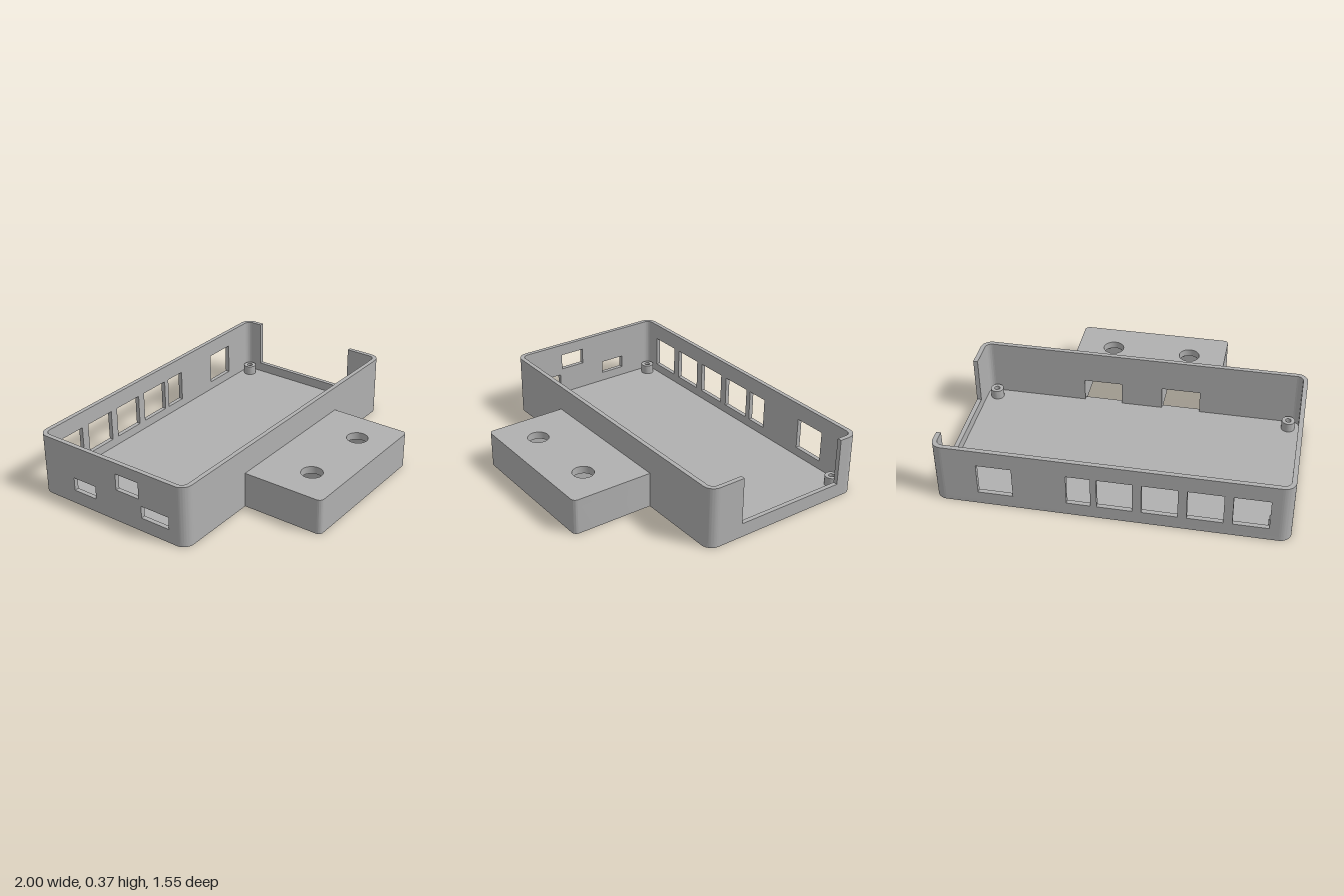
import * as THREE from 'three';
import { toCreasedNormals } from 'three/addons/utils/BufferGeometryUtils.js';

const H = 0.37, T = 0.027, R = 0.065;      // tray height, wall thickness, corner radius
const ZB = -0.775, ZF = 0.275, ZC = -0.25; // tray back, front and middle

const plastic = new THREE.MeshStandardMaterial({ color: 0xb0b0b0 });
plastic.name = 'grey plastic';

function extrude(shape, depth) {
  const g = new THREE.ExtrudeGeometry(shape, { depth, bevelEnabled: false, curveSegments: 16 });
  return toCreasedNormals(g, 0.5);
}

function add(parent, name, geometry) {
  const mesh = new THREE.Mesh(geometry, plastic);
  mesh.name = name;
  parent.add(mesh);
  return mesh;
}

// Horizontal plate: the shape holds (x, -z) and is raised from y0 to y1
function slab(parent, name, shape, y0, y1) {
  return add(parent, name, extrude(shape, y1 - y0).rotateX(-Math.PI / 2).translate(0, y0, 0));
}

function circle(x, z, r) {
  return new THREE.Path().absarc(x, -z, r, 0, Math.PI * 2, true);
}

function poly(points, Type = THREE.Shape) {
  return new Type(points.map(([x, y]) => new THREE.Vector2(x, y)));
}

function rect(x0, x1, y0, y1, Type) {
  return poly([[x0, y0], [x1, y0], [x1, y1], [x0, y1]], Type);
}

function trayOutline() {
  const s = new THREE.Shape(), x = 1 - R, a = -ZF + R, b = -ZB - R, q = Math.PI / 2;
  s.absarc(x, a, R, -q, 0, false);
  s.absarc(x, b, R, 0, q, false);
  s.absarc(-x, b, R, q, 2 * q, false);
  s.absarc(-x, a, R, 2 * q, 3 * q, false);
  return s;
}

// Upright wall with windows, drawn in (x, y) and extruded along z
function wall(shape, windows) {
  for (const w of windows) shape.holes.push(rect(...w, THREE.Path));
  return extrude(shape, T);
}

function buildTray() {
  const tray = new THREE.Group();
  tray.name = 'tray';

  // Floor, with four shallow round recesses underneath
  const under = trayOutline();
  for (const x of [-0.783, 0.783])
    for (const z of [-0.394, 0.394]) under.holes.push(circle(x, ZC + z, 0.063));
  slab(tray, 'floorUnderside', under, 0, 0.01);
  slab(tray, 'floor', trayOutline(), 0.01, T);

  // Rounded corners
  const corner = new THREE.Shape();
  corner.absarc(0, 0, R, 0, Math.PI / 2, false);
  corner.absarc(0, 0, R - T, Math.PI / 2, 0, true);
  [[1, -1], [-1, -1], [-1, 1], [1, 1]].forEach(([sx, sz], i) => {
    const m = slab(tray, 'corner', corner, T, H);
    m.rotation.y = i * Math.PI / 2;
    m.position.set(sx * (1 - R), 0, ZC + sz * (0.525 - R));
  });

  // Back wall with its row of ports
  const ports = [[0.545, 0.745], [0.105, 0.24], [-0.13, 0.07], [-0.38, -0.18], [-0.63, -0.43], [-0.88, -0.68]];
  const X = 1 - R;
  add(tray, 'backWall', wall(rect(-X, X, T, H), ports.map(([a, b]) => [a, b, 0.08, 0.27])))
    .position.z = ZB;

  // Front wall with two passages that start at the floor
  const front = [[-X, T]];
  for (const [a, b] of [[-0.36, -0.125], [0.125, 0.36]]) front.push([a, T], [a, 0.17], [b, 0.17], [b, T]);
  front.push([X, T], [X, H], [-X, H]);
  add(tray, 'frontWall', wall(poly(front), [])).position.z = ZF - T;

  // Side walls, drawn in (-z, y) and turned to stand along z
  const za = -ZF + R, zb = -ZB - R;
  const sideWindows = [[0.045, 0.205, 0.2, 0.3], [0.36, 0.52, 0.085, 0.165], [-0.16, 0.03, 0.085, 0.16]];
  const right = add(tray, 'rightWall', wall(rect(za, zb, T, H), sideWindows));
  right.rotation.y = Math.PI / 2;
  right.position.x = -1;
  const notched = poly([[za, T], [zb, T], [zb, H], [0.645, H], [0.645, 0.085], [-0.05, 0.085], [-0.05, H], [za, H]]);
  const left = add(tray, 'leftWall', wall(notched, []));
  left.rotation.y = Math.PI / 2;
  left.position.x = 1 - T;

  // Hollow standoffs
  const profile = [[0.017, T], [0.04, T], [0.04, 0.085], [0.017, 0.085], [0.017, T]]
    .map(([x, y]) => new THREE.Vector2(x, y));
  for (const x of [-0.91, 0.91])
    for (const z of [-0.69, 0.185])
      add(tray, 'standoff', toCreasedNormals(new THREE.LatheGeometry(profile, 24), 0.5)).position.set(x, 0, z);
  return tray;
}

function buildBracket() {
  const bracket = new THREE.Group();
  bracket.name = 'frontBracket';
  const x0 = -0.47, x1 = 0.465, z1 = 0.775, r = 0.03, top = 0.215, ceiling = 0.17, pocketEnd = 0.74;
  const pockets = [[-0.36, -0.125], [0.125, 0.36]];

  // Rounded outer edge, traced from the tray round to the tray again
  const outline = (slots) => {
    const s = new THREE.Shape();
    s.moveTo(x0, -ZF);
    s.lineTo(x0, -z1 + r);
    s.absarc(x0 + r, -z1 + r, r, Math.PI, Math.PI * 1.5, false);
    s.absarc(x1 - r, -z1 + r, r, Math.PI * 1.5, Math.PI * 2, false);
    s.lineTo(x1, -ZF);
    if (slots) for (const [a, b] of [...pockets].reverse()) {
      s.lineTo(b, -ZF);
      s.lineTo(b, -pocketEnd);
      s.lineTo(a, -pocketEnd);
      s.lineTo(a, -ZF);
    }
    return s;
  };

  // Body with two pockets open below and towards the tray
  const body = outline(true);
  for (const x of [-0.42, 0.415]) body.holes.push(circle(x, 0.73, 0.024));
  slab(bracket, 'bracketBody', body, 0, ceiling);

  // Top plate with the two round holes
  const lid = outline(false);
  for (const x of [-0.245, 0.24]) lid.holes.push(circle(x, 0.57, 0.063));
  slab(bracket, 'bracketTop', lid, ceiling, top);

  // Sloping end of each pocket, a profile in (-z, y) swept along x
  const slope = poly([[-pocketEnd, 0], [-0.645, 0.1], [-0.645, ceiling], [-pocketEnd, ceiling]]);
  for (const [a, b] of pockets) {
    const m = add(bracket, 'pocketSlope', extrude(slope, b - a));
    m.rotation.y = Math.PI / 2;
    m.position.x = a;
  }
  return bracket;
}

export function createModel() {
  const model = new THREE.Group();
  model.name = 'enclosureBase';
  model.add(buildTray(), buildBracket());
  return model;
}
